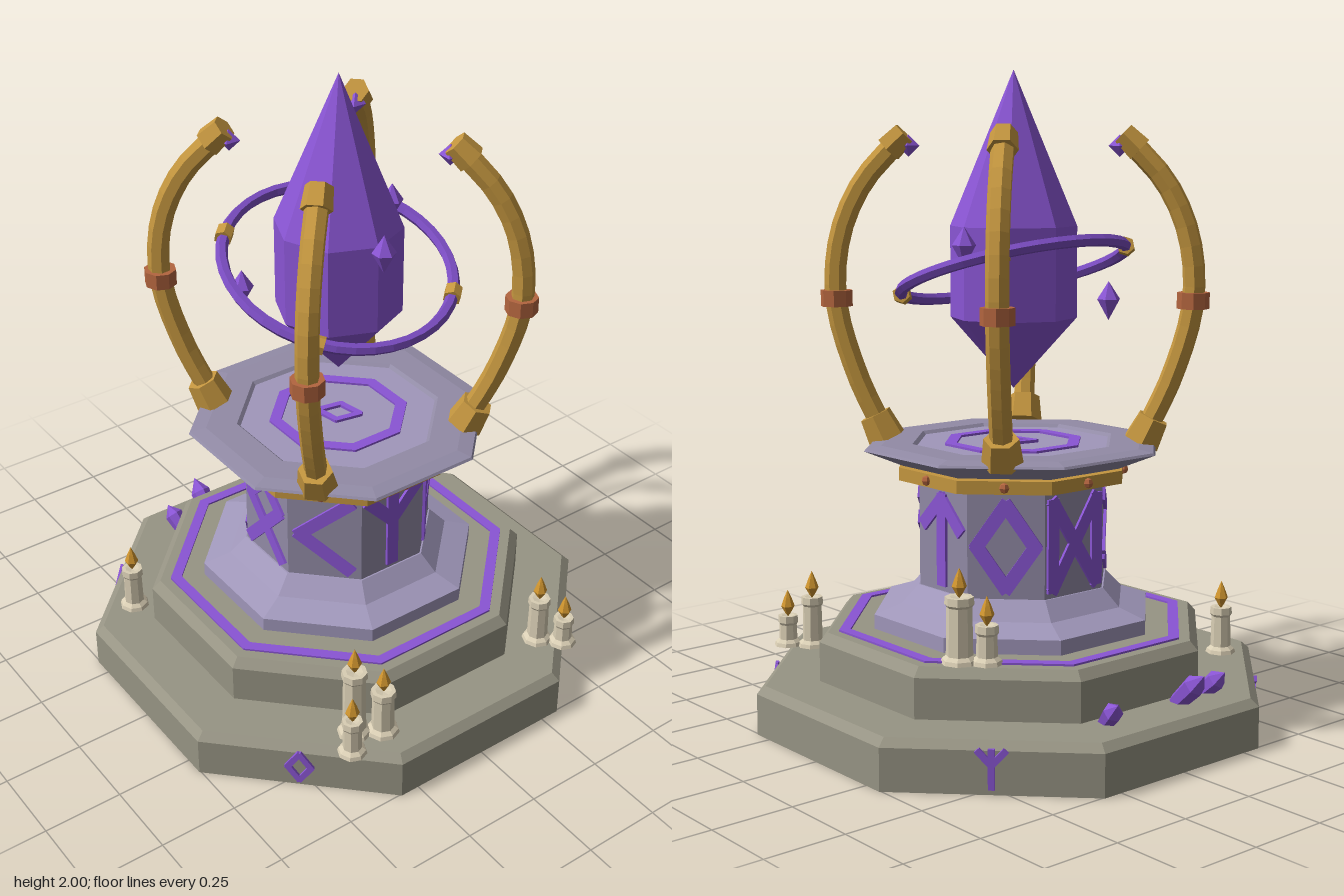
import * as THREE from 'three';

const mat = (name, color) => Object.assign(new THREE.MeshStandardMaterial({ color }), { name });

export function createModel() {
  const root = new THREE.Group();
  root.name = 'crystalShrine';
  const stone = mat('stone', 0x979484);
  const slate = mat('paleSlate', 0x928ba6);
  const lavender = mat('lavenderStone', 0xa097ba);
  const purple = mat('purpleCrystal', 0x8a55d4);
  const deep = mat('deepPurple', 0x7a4cc0);
  const gold = mat('gold', 0xc4963f);
  const copper = mat('copper', 0xb3653f);
  const wax = mat('wax', 0xd9ceb4);
  const flame = mat('flame', 0xd1962f);

  // Faceted mesh helper
  function add(parent, name, geo, material, x = 0, y = 0, z = 0) {
    const g = geo.index ? geo.toNonIndexed() : geo;
    g.computeVertexNormals();
    const m = new THREE.Mesh(g, material);
    m.name = name;
    m.position.set(x, y, z);
    parent.add(m);
    return m;
  }
  function group(name, parent = root) {
    const g = new THREE.Group();
    g.name = name;
    parent.add(g);
    return g;
  }
  const lathe = (pts, sides, phase = 0) =>
    new THREE.LatheGeometry(pts.map(p => new THREE.Vector2(...p)), sides, phase);
  // Octagon with flat sides on the axes; profile gives [apothem, height]
  const octagon = pts =>
    lathe(pts.map(([r, y]) => [r / Math.cos(Math.PI / 8), y]), 8, Math.PI / 8);
  const octRing = (inner, outer, y0, y1) =>
    octagon([[inner, y0], [outer, y0], [outer, y1], [inner, y1], [inner, y0]]);

  // Stepped base
  add(root, 'lowerStep', octagon([[0, 0], [0.755, 0], [0.755, 0.127], [0.73, 0.15], [0, 0.15]]), stone);
  add(root, 'upperStep', octagon([[0.575, 0.15], [0.575, 0.272], [0.55, 0.3], [0, 0.3]]), stone);
  add(root, 'stepInlay', octRing(0.485, 0.518, 0.299, 0.306), purple);

  // Pedestal
  add(root, 'plinth', octagon([[0.415, 0.3], [0.415, 0.345], [0.335, 0.375], [0.285, 0.43], [0, 0.43]]), lavender);
  add(root, 'column', octagon([[0.28, 0.42], [0.28, 0.77]]), slate);
  add(root, 'goldBand', octagon([[0.27, 0.76], [0.34, 0.76], [0.34, 0.8], [0.27, 0.8]]), gold);
  add(root, 'tableTop', octagon([[0.27, 0.8], [0.33, 0.805], [0.44, 0.855], [0.435, 0.862],
    [0.39, 0.87], [0.3, 0.87], [0.29, 0.86]]), slate);
  add(root, 'tableRecess', octagon([[0.29, 0.86], [0, 0.86]]), lavender);
  add(root, 'tableInlay', octRing(0.17, 0.205, 0.859, 0.867), purple);
  for (let i = 0; i < 8; i++) {
    const a = i * Math.PI / 4;
    add(root, 'rivet', new THREE.SphereGeometry(0.016, 6, 4), copper,
      0.342 * Math.sin(a), 0.78, 0.342 * Math.cos(a));
  }

  // Carved signs, each a set of polylines in a unit square
  const signs = {
    fork: [[[0, -0.5], [0, 0.5]], [[-0.35, 0.48], [0, 0.1], [0.35, 0.48]]],
    branch: [[[-0.2, -0.5], [-0.2, 0.5]], [[-0.2, 0.12], [0.3, 0.46]], [[-0.2, -0.15], [0.3, 0.16]]],
    arrow: [[[0, -0.5], [0, 0.5]], [[-0.33, 0.15], [0, 0.48], [0.33, 0.15]]],
    diamond: [[[0, 0.48], [0.33, 0], [0, -0.48], [-0.33, 0], [0, 0.48]]],
    hourglass: [[[-0.33, -0.5], [-0.33, 0.5], [0.33, -0.5], [0.33, 0.5], [-0.33, -0.5]]],
    zigzag: [[[-0.32, 0.48], [0.32, 0.22], [-0.32, -0.22], [0.32, -0.48]]],
    loop: [[[-0.33, -0.5], [0.3, 0.18], [0, 0.48], [-0.3, 0.18], [0.33, -0.5]]],
    chevron: [[[0.3, 0.48], [-0.3, 0], [0.3, -0.48]]],
  };
  function sign(kind, size, width, parent) {
    const g = group(kind + 'Sign', parent);
    for (const line of signs[kind]) for (let i = 1; i < line.length; i++) {
      const [ax, ay] = line[i - 1], [bx, by] = line[i];
      const len = Math.hypot(bx - ax, by - ay) * size + width * 0.5;
      const s = add(g, 'stroke', new THREE.BoxGeometry(len, width, 0.009), purple,
        (ax + bx) / 2 * size, (ay + by) / 2 * size, 0.0045);
      s.rotation.z = Math.atan2(by - ay, bx - ax);
    }
    return g;
  }
  function wallSign(kind, face, apothem, y, size, width) {
    const holder = group('wallSign');
    holder.rotation.y = face * Math.PI / 4;
    sign(kind, size, width, holder).position.set(0, y, apothem);
  }
  ['fork', 'branch', 'arrow', 'diamond', 'hourglass', 'zigzag', 'loop', 'chevron']
    .forEach((kind, i) => wallSign(kind, i, 0.28, 0.59, 0.265, 0.042));
  ['arrow', 'fork', 'zigzag', 'diamond']
    .forEach((kind, i) => wallSign(kind, 1 + 2 * i, 0.755, 0.075, 0.108, 0.019));
  const tableSign = sign('diamond', 0.14, 0.02, root);
  tableSign.rotation.set(-Math.PI / 2, 0, Math.PI / 4);
  tableSign.position.y = 0.86;

  // Great crystal and its floating shards
  add(root, 'greatCrystal', lathe([[0, 1.03], [0.195, 1.25], [0.195, 1.53], [0, 2]], 8), purple);
  for (const [x, y, z] of [[-0.052, 1.565, 0.288], [0.275, 1.48, -0.1], [-0.225, 1.3, -0.187]])
    add(root, 'floatingShard', lathe([[0, -0.06], [0.036, 0.005], [0, 0.06]], 6), purple, x, y, z);

  // Tilted ring with gold cuffs
  const ring = group('orbitRing');
  ring.position.y = 1.392;
  ring.rotation.x = 0.31;
  add(ring, 'hoop', new THREE.TorusGeometry(0.352, 0.019, 6, 40).rotateX(Math.PI / 2), deep);
  for (let i = 0; i < 4; i++) {
    const a = Math.PI / 4 + i * Math.PI / 2;
    const cuff = add(ring, 'cuff', new THREE.CylinderGeometry(0.028, 0.028, 0.045, 6).rotateX(Math.PI / 2),
      gold, 0.352 * Math.cos(a), 0, 0.352 * Math.sin(a));
    cuff.rotation.y = -a;
  }

  // Four curved arms on the diagonals
  const armPath = new THREE.CatmullRomCurve3([[0.4, 0.88], [0.488, 1.07], [0.55, 1.3], [0.535, 1.5],
    [0.465, 1.66], [0.355, 1.785]].map(([x, y]) => new THREE.Vector3(x, y, 0)));
  for (let i = 0; i < 4; i++) {
    const arm = group('arm');
    arm.rotation.y = Math.PI / 4 + i * Math.PI / 2;
    add(arm, 'curvedBar', new THREE.TubeGeometry(armPath, 16, 0.035, 7), gold);
    add(arm, 'foot', new THREE.CylinderGeometry(0.052, 0.062, 0.085, 6), gold, 0.415, 0.903, 0).rotation.z = -0.45;
    add(arm, 'collar', new THREE.CylinderGeometry(0.05, 0.05, 0.05, 8), copper, 0.55, 1.305, 0);
    add(arm, 'tip', new THREE.CylinderGeometry(0.04, 0.046, 0.07, 6), gold, 0.358, 1.785, 0).rotation.z = 0.8;
    add(arm, 'tipGem', new THREE.OctahedronGeometry(0.034), purple, 0.322, 1.772, 0);
  }

  // Candles: x, z, floor, wax top, radius
  const candles = [
    [-0.59, -0.34, 0.15, 0.3, 0.032], [-0.36, 0.575, 0.15, 0.39, 0.037], [-0.415, 0.64, 0.15, 0.275, 0.03],
    [-0.285, 0.62, 0.15, 0.31, 0.036], [0.375, 0.575, 0.15, 0.315, 0.033], [0.43, 0.635, 0.15, 0.25, 0.03],
    [0.438, -0.275, 0.3, 0.495, 0.04], [0.385, -0.335, 0.3, 0.415, 0.032],
  ];
  for (const [x, z, y, top, r] of candles) {
    const c = group('candle');
    c.position.set(x, y, z);
    const h = top - y;
    add(c, 'waxBody', lathe([[0, 0], [r + 0.016, 0], [r + 0.012, 0.012], [r, 0.022], [r * 0.94, h - 0.03],
      [r * 1.1, h - 0.022], [r * 1.05, h], [r * 0.7, h], [0, h - 0.006]], 8), wax);
    add(c, 'candleFlame', lathe([[0, h - 0.005], [0.008, h + 0.005], [0.022, h + 0.03], [0.012, h + 0.058],
      [0, h + 0.085]], 6), flame);
  }

  // Crystals sprouting from the back of the lower step: x, z, length, radius, sideways lean
  for (const [x, z, len, r, lean] of [[-0.12, -0.605, 0.15, 0.034, 0], [-0.245, -0.585, 0.11, 0.031, 0.15],
    [0.17, -0.605, 0.11, 0.03, -0.25]]) {
    const s = add(root, 'stepCrystal', lathe([[0, 0], [r * 0.8, 0], [r, len * 0.65], [0, len]], 6), purple, x, 0.145, z);
    s.rotation.set(-0.8, 0, lean);
  }
  return root;
}
